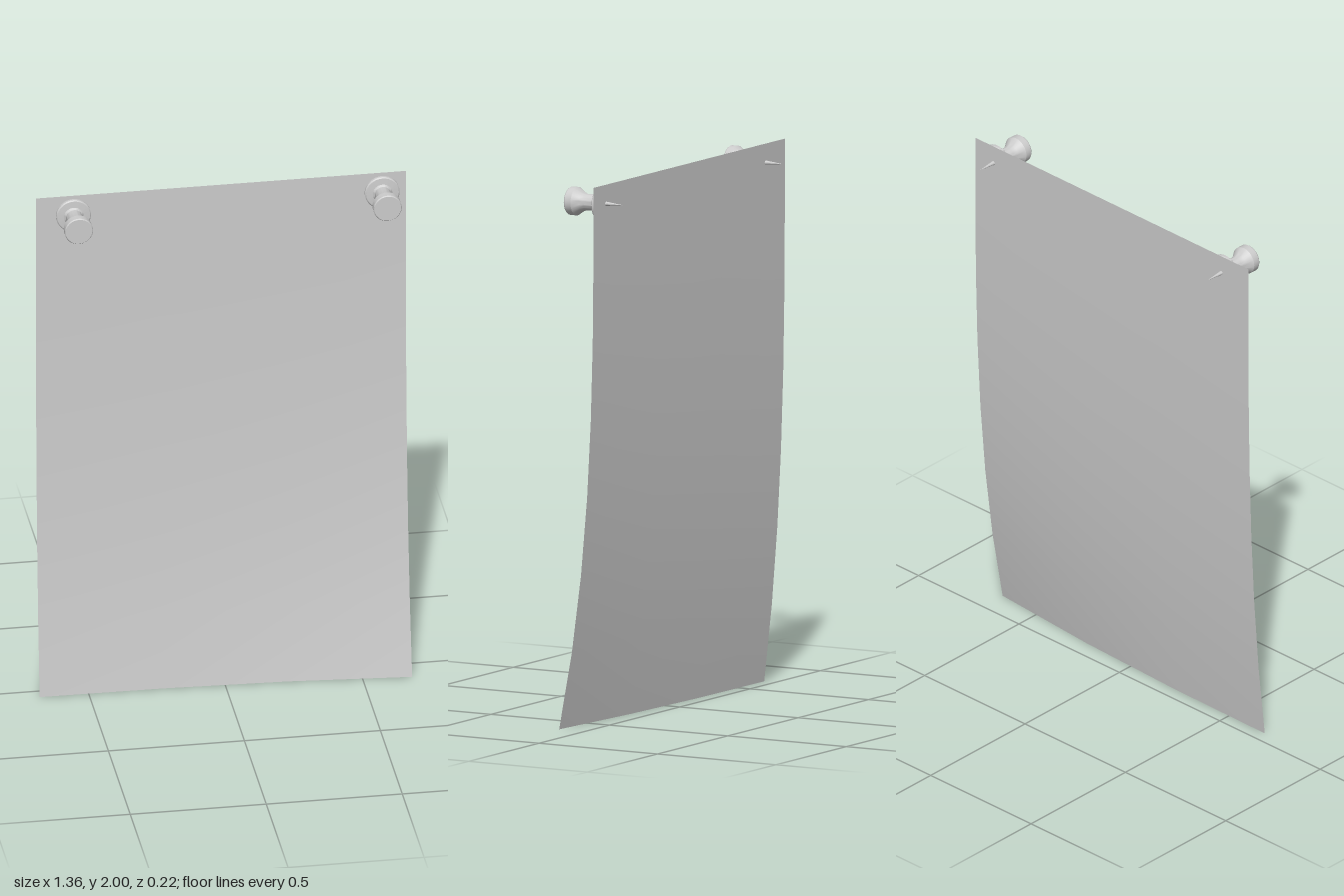
import * as THREE from 'three';
import { toCreasedNormals } from 'three/addons/utils/BufferGeometryUtils.js';

const grey = new THREE.MeshStandardMaterial({ color: 0xcccccc });
const greyThin = new THREE.MeshStandardMaterial({ color: 0xcccccc, side: THREE.DoubleSide });

// Solid of revolution about z from [radius, z] points, listed back to front
function turned(name, profile, sides) {
  const points = profile.map(([r, z]) => new THREE.Vector2(r, z));
  const geometry = new THREE.LatheGeometry(points, sides).rotateX(Math.PI / 2);
  const mesh = new THREE.Mesh(toCreasedNormals(geometry, 0.5), grey);
  mesh.name = name;
  return mesh;
}

// Push pin: flanged grip in front, needle behind
function createPin(name, x) {
  const pin = new THREE.Group();
  pin.name = name;
  pin.add(
    turned('pinGrip', [
      [0, -0.03], [0.06, -0.03], [0.064, -0.026], [0.064, -0.017], [0.06, -0.013],
      [0.036, -0.011], [0.03, -0.004], [0.03, 0.04], [0.035, 0.055],
      [0.052, 0.08], [0.052, 0.106], [0.049, 0.11], [0, 0.11],
    ], 32),
    turned('pinNeedle', [[0, -0.112], [0.009, -0.03], [0, -0.03]], 12),
  );
  pin.position.set(x, 1.93, 0);
  return pin;
}

// Hanging sheet: flat at the top, curling forward below, more at its left corner
function createSheet() {
  const geometry = new THREE.PlaneGeometry(1.36, 2, 3, 7).translate(0, 1, 0);
  const position = geometry.attributes.position;
  for (let i = 0; i < position.count; i++) {
    const across = position.getX(i) / 1.36 + 0.5;
    const down = Math.max(0, 1 - position.getY(i) / 2);
    const curl = 0.087 + 0.058 * Math.max(0, across) ** 2.4;
    position.setZ(i, -0.04 + curl * down ** 3);
  }
  geometry.computeVertexNormals();
  const sheet = new THREE.Mesh(geometry, greyThin);
  sheet.name = 'paperSheet';
  return sheet;
}

export function createModel() {
  const model = new THREE.Group();
  model.name = 'pinnedPaper';
  model.add(createSheet(), createPin('rightPin', -0.545), createPin('leftPin', 0.59));
  return model;
}
